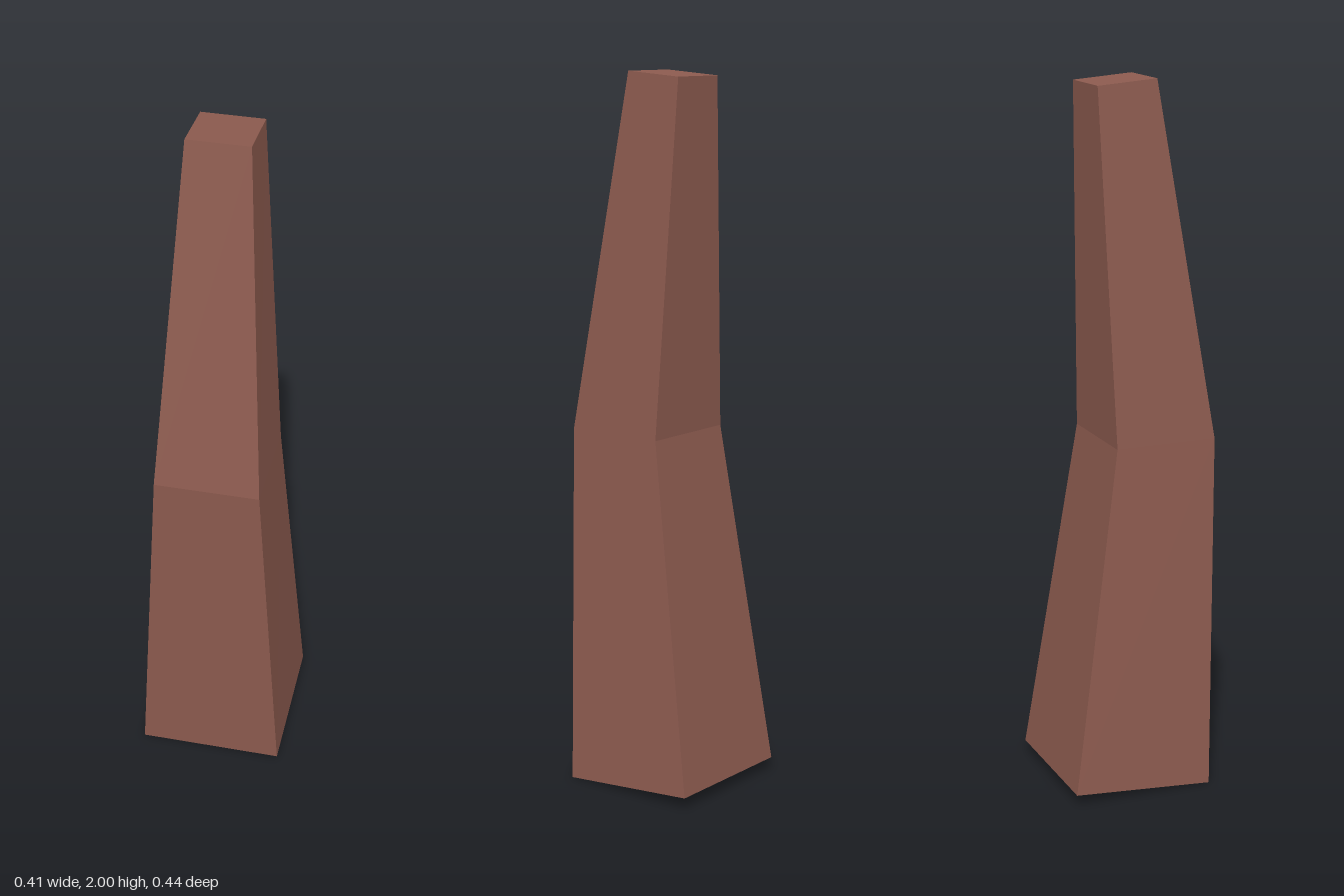
import * as THREE from 'three';

// Cross-sections from bottom to top: half width, then front and back edges as [y, z]
const SECTIONS = [
  { halfWidth: 0.205, front: [0, 0.187], back: [0.035, -0.221] },
  { halfWidth: 0.147, front: [1.01, 0.22], back: [1.01, -0.073] },
  { halfWidth: 0.086, front: [2, 0.068], back: [1.987, -0.103] },
];

export function createModel() {
  const group = new THREE.Group();
  group.name = 'bentTaperedPost';

  // Box with one ring of vertices per cross-section, moved onto the bent taper
  const geometry = new THREE.BoxGeometry(2, 2, 2, 1, SECTIONS.length - 1, 1);
  const position = geometry.attributes.position;
  for (let i = 0; i < position.count; i++) {
    const section = SECTIONS[Math.round(position.getY(i) + 1)];
    const [y, z] = position.getZ(i) > 0 ? section.front : section.back;
    position.setXYZ(i, Math.sign(position.getX(i)) * section.halfWidth, y, z);
  }
  const faceted = geometry.toNonIndexed();
  faceted.computeVertexNormals();

  const material = new THREE.MeshStandardMaterial({ color: 0x8d5b4f, flatShading: true });
  const post = new THREE.Mesh(faceted, material);
  post.name = 'post';
  group.add(post);
  return group;
}
